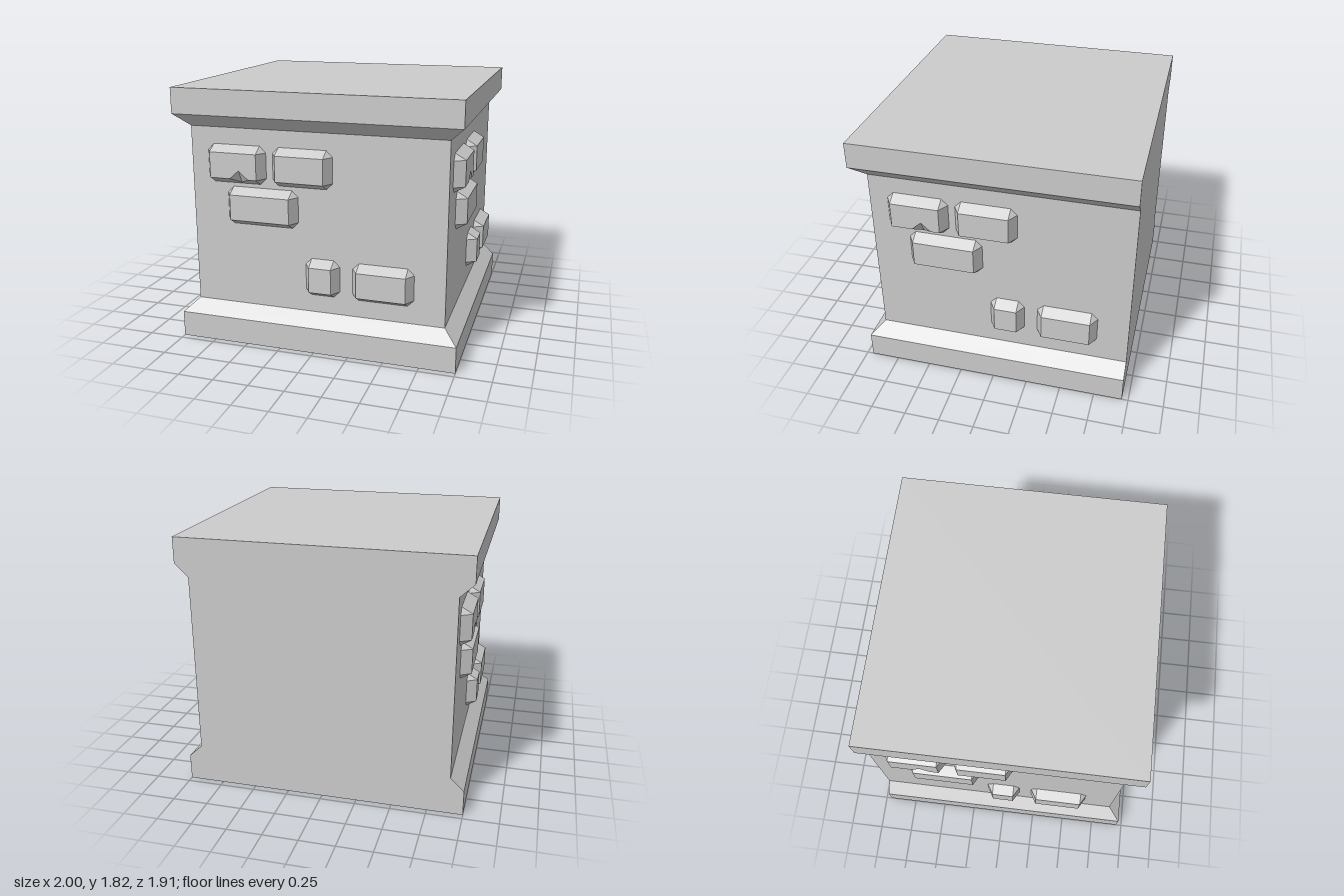
import * as THREE from 'three';

const material = new THREE.MeshStandardMaterial({ color: 0xcccccc, flatShading: true });

// Mesh from convex or star-shaped polygons, each fanned from its first corner (counter-clockwise)
function facetMesh(name, polygons) {
  const positions = [];
  for (const p of polygons) {
    for (let i = 1; i < p.length - 1; i++) positions.push(...p[0], ...p[i], ...p[i + 1]);
  }
  const geometry = new THREE.BufferGeometry();
  geometry.setAttribute('position', new THREE.Float32BufferAttribute(positions, 3));
  geometry.computeVertexNormals();
  const mesh = new THREE.Mesh(geometry, material);
  mesh.name = name;
  return mesh;
}

const BACK = -0.955, WALL_X = 0.905, WALL_Z = 0.865;

// Wall block with plinth and cornice on three sides and a flush back
function createBlock() {
  // height, half width, front z
  const levels = [
    [0, 1, 0.955], [0.185, 1, 0.955], [0.275, WALL_X, WALL_Z],
    [1.55, WALL_X, WALL_Z], [1.64, 1, 0.955], [1.82, 1, 0.955],
  ];
  const rings = levels.map(([y, w, z]) => [[-w, y, z], [w, y, z], [w, y, BACK], [-w, y, BACK]]);
  const polygons = [[...rings[0]].reverse(), rings[rings.length - 1]];
  for (let i = 0; i < rings.length - 1; i++) {
    for (let j = 0; j < 4; j++) {
      const k = (j + 1) % 4;
      polygons.push([rings[i][j], rings[i][k], rings[i + 1][k], rings[i + 1][j]]);
    }
  }
  return facetMesh('wallBlock', polygons);
}

// Raised brick: rectangular face, sloped sides and cut corners, optionally chipped at its lower edge
function createBrick(x0, x1, y0, y1, chipped) {
  const s = 0.044, d = 0.075;
  const xi0 = x0 + s, xi1 = x1 - s, yi0 = y0 + s, yi1 = y1 - s;
  const A = [xi0, yi0, d], B = [xi1, yi0, d], C = [xi1, yi1, d], D = [xi0, yi1, d];
  const bottomA = [xi0, y0, 0], bottomB = [xi1, y0, 0];
  const rightB = [x1, yi0, 0], rightC = [x1, yi1, 0];
  const topC = [xi1, y1, 0], topD = [xi0, y1, 0];
  const leftD = [x0, yi1, 0], leftA = [x0, yi0, 0];
  const polygons = [
    [B, rightB, rightC, C], [C, topC, topD, D], [D, leftD, leftA, A],
    [A, leftA, bottomA], [B, bottomB, rightB], [C, rightC, topC], [D, topD, leftD],
  ];
  if (chipped) {
    const cx = -0.525;
    const L = [cx - 0.067, yi0, d], R = [cx + 0.067, yi0, d];
    const tip = [cx, 1.27, d], valley = [cx, y0 + 0.013, d * 0.013 / s];
    polygons.push(
      [tip, R, B, C, D, A, L], [valley, L, A, bottomA, bottomB, B, R],
      [L, valley, tip], [valley, R, tip],
    );
  } else {
    polygons.push([A, B, C, D], [bottomA, bottomB, B, A]);
  }
  return facetMesh(chipped ? 'chippedBrick' : 'brick', polygons);
}

// The same five bricks on each decorated wall
function createBricks(name, x, z, angle) {
  const group = new THREE.Group();
  group.name = name;
  const bricks = [
    [-0.78, -0.353, 1.166, 1.433, true],
    [-0.305, 0.123, 1.166, 1.433, false],
    [-0.642, -0.125, 0.872, 1.139, false],
    [-0.076, 0.17, 0.401, 0.668, false],
    [0.262, 0.69, 0.399, 0.666, false],
  ];
  for (const b of bricks) group.add(createBrick(...b));
  group.position.set(x, 0, z);
  group.rotation.y = angle;
  return group;
}

export function createModel() {
  const model = new THREE.Group();
  model.name = 'brickWallBlock';
  const sideZ = (BACK + WALL_Z) / 2;
  model.add(
    createBlock(),
    createBricks('frontBricks', 0, WALL_Z, 0),
    createBricks('leftBricks', WALL_X, sideZ, Math.PI / 2),
    createBricks('rightBricks', -WALL_X, sideZ, -Math.PI / 2),
  );
  return model;
}
